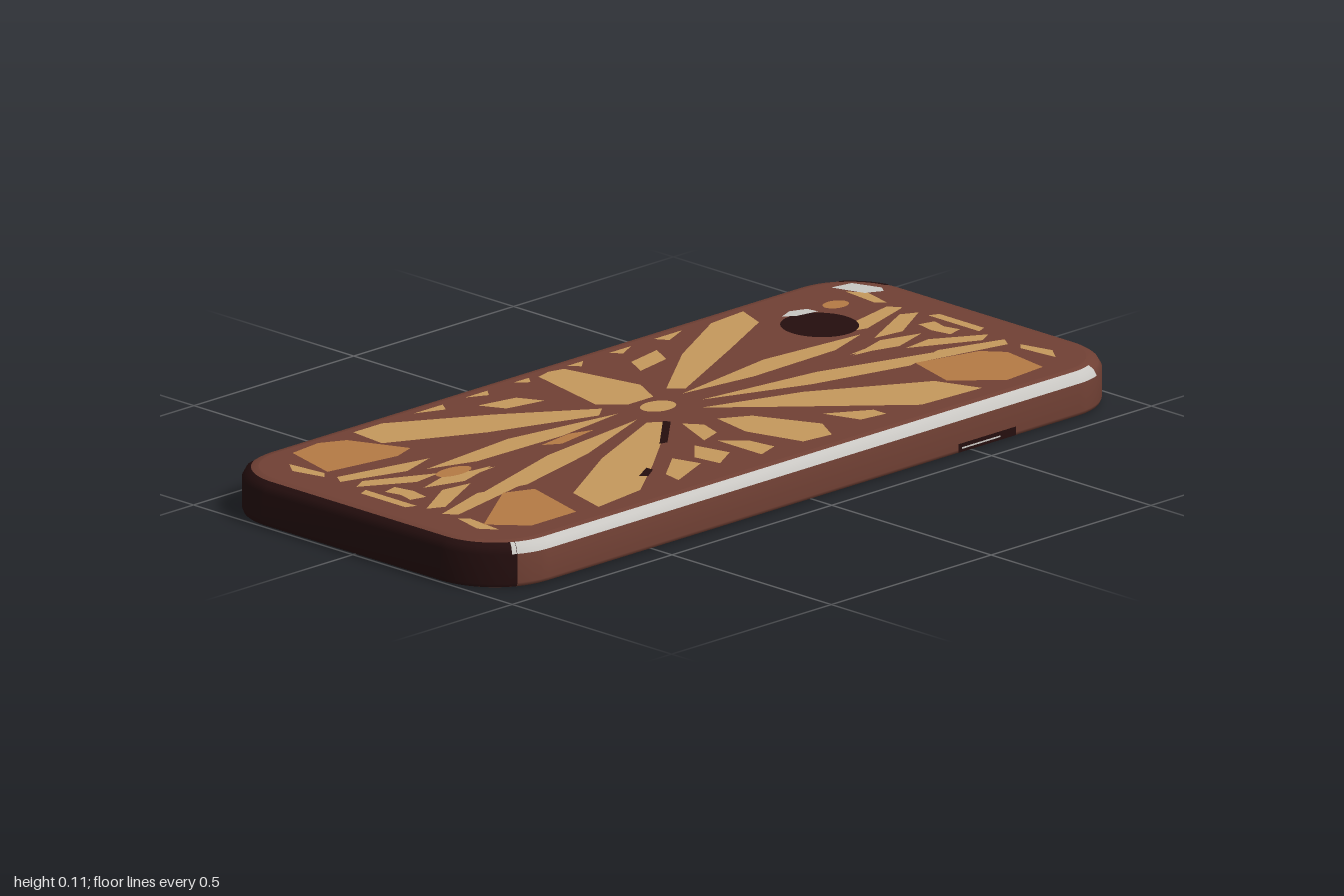
import * as THREE from 'three';

const mat = (name, color, side = THREE.FrontSide) => {
  const m = new THREE.MeshStandardMaterial({ color, side });
  m.name = name;
  return m;
};

const CX = 0.83, CZ = 0.275, R = 0.17, TOP = 0.104; // corner centres, radius, height
const D = Math.PI / 180;

// Outline entries [centreX, centreZ, angle] round one corner
const arc = (sx, sz, a0, a1, n = 12) =>
  Array.from({ length: n + 1 }, (_, i) => [sx * CX, sz * CZ, (a0 + ((a1 - a0) * i) / n) * D]);

// Side wall: sweeps a profile of [inset, y] along outline entries
function wall(path, profile) {
  const pos = [], idx = [], n = profile.length;
  path.forEach(([cx, cz, a], j) => profile.forEach(([inset, y], k) => {
    pos.push(cx + (R - inset) * Math.cos(a), y, cz + (R - inset) * Math.sin(a));
    if (j && k) {
      const q = j * n + k, p = q - n;
      idx.push(p - 1, p, q - 1, p, q, q - 1);
    }
  }));
  const g = new THREE.BufferGeometry();
  g.setAttribute('position', new THREE.Float32BufferAttribute(pos, 3));
  g.setIndex(idx);
  g.computeVertexNormals();
  return g;
}

// Flat face in the xz plane, facing up
const face = (shape, y) => new THREE.ShapeGeometry(shape, 24).rotateX(-Math.PI / 2).translate(0, y, 0);

// Face from a list x0, z0, x1, z1 ..., optionally mirrored in x and z
function plate(c, y, sx = 1, sz = 1) {
  const pts = [];
  for (let i = 0; i < c.length; i += 2) pts.push(new THREE.Vector2(c[i] * sx, -c[i + 1] * sz));
  return face(new THREE.Shape(pts), y);
}

export function createModel() {
  const brown = mat('brown shell', 0x704034);
  const dark = mat('dark trim', 0x240e0e);
  const tan = mat('tan petals', 0xc4985c);
  const orange = mat('amber panels', 0xb47a44);
  const silver = mat('silver', 0xc8c6c2);

  const model = new THREE.Group();
  model.name = 'patternedCase';
  const add = (name, geometry, material, parent = model) => {
    const m = new THREE.Mesh(geometry, material);
    m.name = name;
    parent.add(m);
  };

  // Shell: rounded slab with softened rims
  const profile = [[0.012, 0], [0.003, 0.004], [0, 0.012], [0, 0.08], [0.008, 0.094], [0.02, 0.1015], [0.035, TOP]];
  const loop = [[CX, 0, 0], ...arc(1, 1, 0, 90), ...arc(-1, 1, 90, 180), ...arc(-1, -1, 180, 270),
    ...arc(1, -1, 270, 360), [CX, 0, 0]];
  add('shellSides', wall(loop, profile), brown);
  const outline = (inset) => new THREE.Shape(loop.slice(1, -1).map(([cx, cz, a]) =>
    new THREE.Vector2(cx + (R - inset) * Math.cos(a), -cz - (R - inset) * Math.sin(a))).reverse());
  add('shellTop', face(outline(0.035), TOP), brown);
  add('shellBottom', face(outline(0.012), 0).rotateX(Math.PI), dark);

  // Skins lying just outside the shell
  const skin = profile.map(([i, y]) => [i - 0.002, y + (y > 0.09 ? 0.0008 : 0)]);
  const band = (y0, y1, out = 0.002) => [[-out, y0], [-out, y1]];
  const end = (z) => [CX, z, 0];
  const corner = arc(1, -1, 285, 360);
  add('leftEndUpperTrim', wall([...corner, end(0.26)], band(0.057, 0.095)), dark);
  add('leftEndLowerTrim', wall([...corner, end(-0.07)], band(0.008, 0.057)), dark);
  add('leftCornerTrim', wall(arc(1, -1, 305, 350), skin.slice(2)), dark);
  add('portSurround', wall([end(0.04), end(0.23)], band(0.006, 0.057)), dark);
  for (const y of [0.014, 0.026])
    add('portMetal', wall([end(0.05), end(0.22)], band(y, y + 0.009, 0.004)), silver);
  add('rightEndTrim', wall([...arc(-1, 1, 118, 180), ...arc(-1, -1, 180, 242)], skin.slice(1, 6)), dark);
  add('frontRimStrip', wall([...arc(1, 1, 68, 90), ...arc(-1, 1, 90, 122)], skin.slice(3, 6)), silver);
  add('frontSlot', wall([[0.63, CZ, 90 * D], [0.45, CZ, 90 * D]], band(0.006, 0.026)), dark);
  add('frontSlotMetal', wall([[0.58, CZ, 90 * D], [0.46, CZ, 90 * D]], band(0.013, 0.017, 0.003)), silver);

  // Petal pattern on the top
  const pattern = new THREE.Group();
  pattern.name = 'petalPattern';
  model.add(pattern);
  const Y = TOP + 0.0008;
  const petal = (...c) => add('petal', plate(c, Y), tan, pattern);
  const disc = (name, x, z, rx, rz, y, m) =>
    add(name, face(new THREE.Shape().absellipse(x, -z, rx, rz, 0, Math.PI * 2), y), m, pattern);
  disc('centre', 0, -0.045, 0.045, 0.035, Y, tan);

  // Large petals
  petal(-0.04, -0.38, 0, -0.39, 0.04, -0.38, 0.08, -0.18, 0.04, -0.1, -0.04, -0.1, -0.09, -0.15);
  petal(-0.61, -0.39, -0.52, -0.39, -0.3, -0.26, -0.1, -0.12, -0.14, -0.09, -0.4, -0.18, -0.62, -0.29);
  petal(0.61, -0.39, 0.58, -0.31, 0.4, -0.22, 0.13, -0.09, 0.1, -0.12, 0.3, -0.27, 0.5, -0.38);
  petal(-0.6, 0.37, -0.57, 0.26, -0.35, 0.13, -0.1, 0.02, -0.06, 0.05, -0.3, 0.24, -0.45, 0.35);
  petal(0.06, 0.03, 0.3, 0.11, 0.56, 0.26, 0.6, 0.37, 0.42, 0.36, 0.2, 0.16);
  // Small petals along both long edges
  petal(0.03, 0.11, 0.1, 0.15, 0.17, 0.3, 0.13, 0.37, 0.05, 0.36, 0.01, 0.22);
  petal(-0.05, 0.08, -0.02, 0.12, -0.04, 0.18, -0.1, 0.2);
  petal(-0.08, 0.22, -0.03, 0.27, -0.02, 0.34, -0.08, 0.36);
  petal(-0.14, 0.21, -0.12, 0.3, -0.19, 0.34, -0.2, 0.27);
  petal(-0.24, 0.24, -0.22, 0.31, -0.34, 0.36, -0.33, 0.31);
  petal(0.22, 0.25, 0.32, 0.31, 0.32, 0.35, 0.25, 0.34);
  for (const s of [1, -1]) {
    add('petal', plate([0.15, -0.25, 0.18, -0.31, 0.28, -0.33, 0.25, -0.27], Y, s), tan, pattern);
    add('petal', plate([0.19, -0.39, 0.26, -0.39, 0.21, -0.365], Y, s), tan, pattern);
    add('petal', plate([0.06, -0.39, 0.11, -0.39, 0.08, -0.365], Y, s), tan, pattern);
    add('petal', plate([0.33, -0.39, 0.42, -0.39, 0.35, -0.36], Y, s), tan, pattern);
  }

  // Long petals and thin shards repeated towards both ends
  const mirrored = [
    [0.87, -0.33, 0.9, -0.29, 0.88, -0.21, 0.86, -0.23],
    [0.62, -0.14, 0.86, -0.19, 0.88, -0.16, 0.72, -0.11],
    [0.68, -0.05, 0.84, -0.13, 0.88, -0.11, 0.76, -0.04],
    [0.56, 0.005, 0.68, -0.03, 0.78, 0, 0.68, 0.018],
    [0.81, 0, 0.82, -0.05, 0.86, -0.04, 0.85, 0],
    [0.88, 0, 0.88, -0.08, 0.905, -0.07, 0.905, 0],
  ];
  for (const sx of [1, -1]) {
    for (const sz of [1, -1])
      for (const c of mirrored) add('shard', plate(c, Y, sx, sz), tan, pattern);
    add('longPetal', plate([0.1, -0.07, 0.4, -0.115, 0.68, -0.09, 0.56, -0.05, 0.3, -0.045], Y, sx), tan, pattern);
    add('longPetal', plate([0.1, -0.01, 0.42, 0.03, 0.72, 0.12, 0.6, 0.145, 0.35, 0.085], Y, sx), tan, pattern);
  }

  // Amber panels in the corners and small amber spots
  const panel = (...c) => add('amberPanel', plate(c, Y + 0.0004), orange, pattern);
  panel(-0.81, -0.38, -0.72, -0.39, -0.66, -0.36, -0.6, -0.22, -0.66, -0.2, -0.85, -0.23);
  panel(-0.68, 0.15, -0.61, 0.18, -0.66, 0.36, -0.8, 0.36, -0.87, 0.28);
  panel(0.62, 0.14, 0.78, 0.18, 0.82, 0.23, 0.8, 0.36, 0.68, 0.37, 0.58, 0.28);
  panel(-0.38, -0.03, -0.28, -0.045, -0.22, -0.025, -0.34, -0.005);
  disc('amberSpot', 0.79, -0.28, 0.033, 0.025, Y, orange);
  disc('amberSpot', -0.65, -0.035, 0.05, 0.025, Y + 0.0004, orange);

  // Dark camera disc, silver glints and dark streaks
  disc('cameraDisc', 0.66, -0.2, 0.085, 0.09, Y + 0.0008, dark);
  const detail = (name, m, ...c) => add(name, plate(c, Y + 0.0012), m);
  detail('cameraGlint', silver, 0.64, -0.3, 0.68, -0.315, 0.72, -0.3, 0.725, -0.27, 0.67, -0.28);
  detail('cornerGlint', silver, 0.865, -0.37, 0.92, -0.36, 0.945, -0.29, 0.93, -0.27, 0.89, -0.29);
  detail('streak', dark, -0.07, 0.04, -0.06, 0.055, -0.17, 0.155, -0.19, 0.15);
  detail('streak', dark, -0.33, 0.25, -0.33, 0.27, -0.37, 0.295, -0.385, 0.28);
  return model;
}
